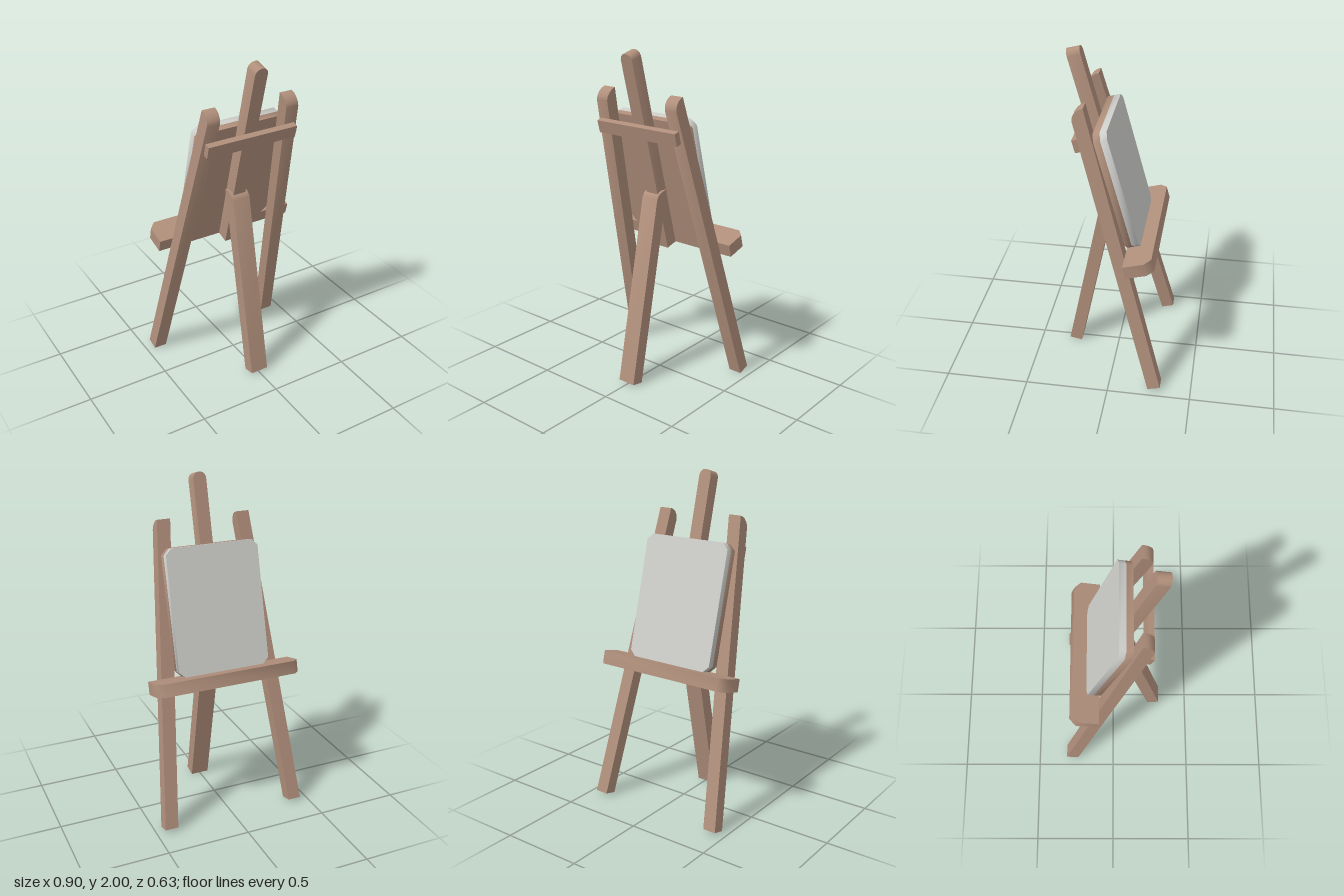
import * as THREE from 'three';
import { toCreasedNormals } from 'three/addons/utils/BufferGeometryUtils.js';

const wood = new THREE.MeshStandardMaterial({ color: 0xb08f7b });
wood.name = 'wood';
const canvasGrey = new THREE.MeshStandardMaterial({ color: 0xcdcdca });
canvasGrey.name = 'canvasGrey';

const T = 0.0776; // beam thickness

// Extrudes an outline through a centred depth
function extrude(points, depth) {
  const shape = new THREE.Shape(points.map(([x, y]) => new THREE.Vector2(x, y)));
  return new THREE.ExtrudeGeometry(shape, { depth, bevelEnabled: false }).translate(0, 0, -depth / 2);
}

// Beam with a (z, y) side profile running to `top`, rounded on its back top edge
function roundedBeam(front, top, width) {
  const back = front + T;
  return extrude([
    [front, 0], [back, 0], [back, top - 0.055], [back - 0.009, top - 0.032],
    [back - 0.032, top - 0.012], [back - 0.052, top - 0.003], [front, top],
  ], width).rotateY(-Math.PI / 2);
}

function add(parent, name, geometry, material = wood) {
  const mesh = new THREE.Mesh(toCreasedNormals(geometry, 0.9), material);
  mesh.name = name;
  parent.add(mesh);
  return mesh;
}

export function createModel() {
  const model = new THREE.Group();
  model.name = 'easel';

  // Leaning frame: local z = 0 is the back plane of the legs
  const frame = new THREE.Group();
  frame.name = 'leaningFrame';
  frame.position.z = -0.24;
  frame.rotation.x = THREE.MathUtils.degToRad(15);
  model.add(frame);

  // Side legs, splayed outward toward the floor
  for (const side of [-1, 1]) {
    const leg = roundedBeam(-T, 1.804, 0.08);
    const splay = new THREE.Matrix4().set(
      1, -side * 0.0909, 0, side * 0.41,
      0, 1, 0, 0,
      0, 0, 1, 0,
      0, 0, 0, 1);
    add(frame, side > 0 ? 'leftLeg' : 'rightLeg', leg.applyMatrix4(splay));
  }

  // Central mast with a rounded top
  add(frame, 'mast', extrude([
    [-0.04, 0.822], [0.04, 0.822], [0.04, 2.015], [0.034, 2.033], [0.02, 2.046], [0, 2.05],
    [-0.02, 2.046], [-0.034, 2.033], [-0.04, 2.015],
  ], T).translate(0, 0, -T / 2));

  // Upper crossbar behind the legs
  add(frame, 'crossbar', new THREE.BoxGeometry(0.57, 0.076, 0.037).translate(0, 1.598, 0.0185));

  // Tray with cut outer corners
  add(frame, 'tray', extrude([
    [-0.45, T], [0.45, T], [0.45, 0.2], [0.41, 0.242], [-0.41, 0.242], [-0.45, 0.2],
  ].reverse(), 0.076).rotateX(-Math.PI / 2).translate(0, 0.86, 0));

  // Board: wooden backing and grey painting surface, corners cut
  const x = 0.285, c = 0.036, y0 = 0.898, y1 = 1.638;
  const outline = [
    [-x + c, y0], [x - c, y0], [x, y0 + c], [x, y1 - c],
    [x - c, y1], [-x + c, y1], [-x, y1 - c], [-x, y0 + c],
  ];
  add(frame, 'boardBacking', extrude(outline, 0.04).translate(0, 0, -T - 0.02));
  add(frame, 'canvas', extrude(outline, 0.04).translate(0, 0, -T - 0.06), canvasGrey);

  // Prop leg leaning the other way
  const prop = add(model, 'propLeg', roundedBeam(0, 1.19, 0.112));
  prop.position.z = 0.24;
  prop.rotation.x = THREE.MathUtils.degToRad(-11.5);

  return model;
}
